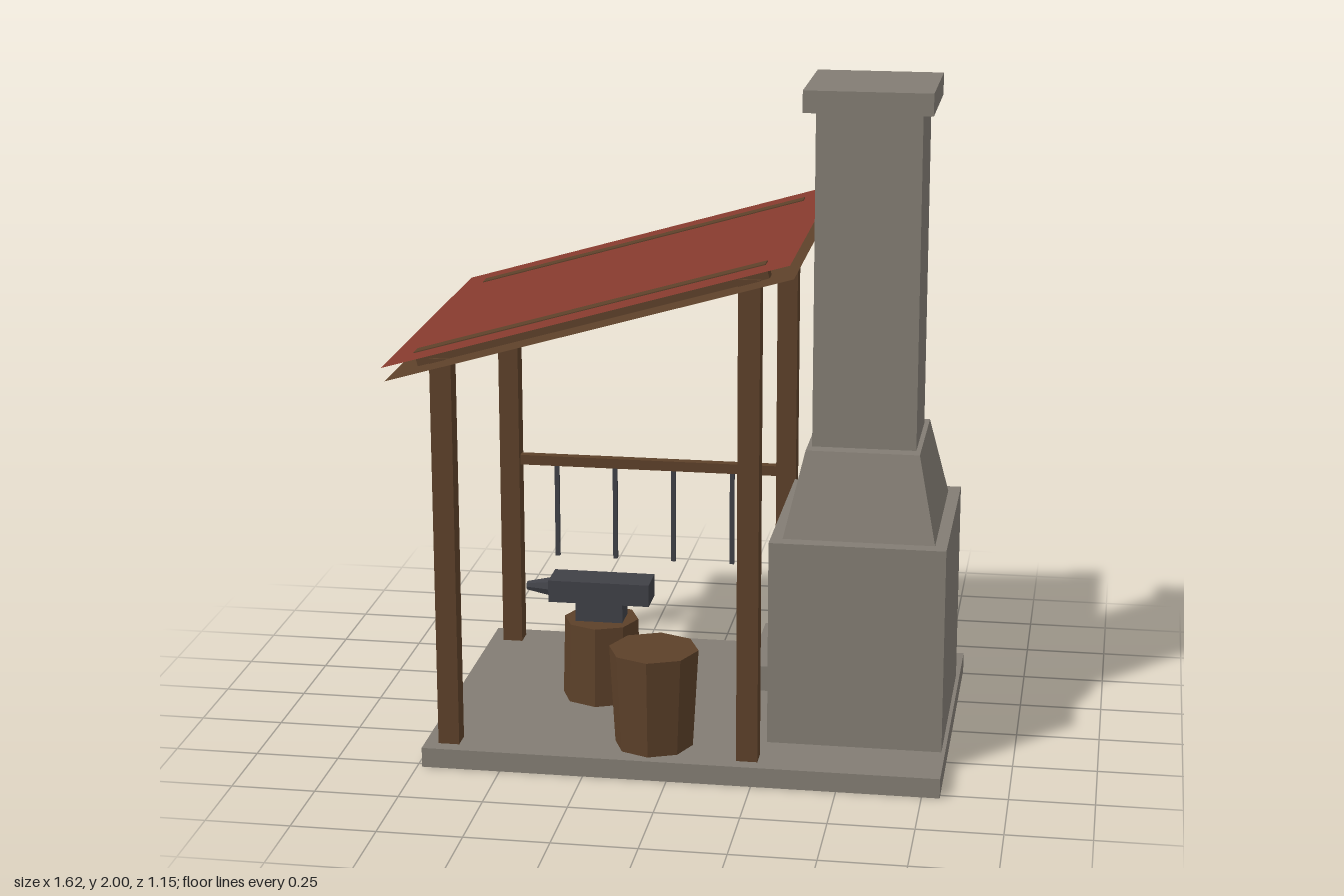
import * as THREE from 'three';

export function createModel() {
  const model = new THREE.Group();
  model.name = 'openSmithy';

  const mat = (name, color, extra = {}) => {
    const m = new THREE.MeshStandardMaterial({ color, flatShading: true, ...extra });
    m.name = name;
    return m;
  };
  const stone = mat('stone', 0x827c73);
  const wood = mat('wood', 0x5c4029, { side: THREE.DoubleSide });
  const roofRed = mat('roofRed', 0x853a2d, { side: THREE.DoubleSide });
  const iron = mat('iron', 0x3f4046);

  const add = (name, geometry, material, x, y, z, parent = model) => {
    const mesh = new THREE.Mesh(geometry, material);
    mesh.name = name;
    mesh.position.set(x, y, z);
    parent.add(mesh);
    return mesh;
  };
  // Box given by its lower and upper limits on each axis
  const box = (name, material, x0, x1, y0, y1, z0, z1, parent = model) =>
    add(name, new THREE.BoxGeometry(x1 - x0, y1 - y0, z1 - z0), material,
      (x0 + x1) / 2, (y0 + y1) / 2, (z0 + z1) / 2, parent);

  // Stone floor
  box('floorSlab', stone, -0.735, 0.803, 0, 0.06, -0.525, 0.523);

  // Forge and chimney
  box('forgeBlock', stone, 0.272, 0.792, 0.06, 0.685, -0.322, 0.32);
  box('forgeLedge', stone, 0.2, 0.272, 0.172, 0.25, -0.19, 0.19);
  const hood = new THREE.BoxGeometry(0.448, 0.25, 0.55);
  const p = hood.attributes.position;
  for (let i = 0; i < p.count; i++) {
    if (p.getY(i) > 0) {
      p.setX(i, p.getX(i) * 0.75);
      p.setZ(i, p.getZ(i) * 0.71);
    }
  }
  hood.computeVertexNormals();
  add('chimneyHood', hood, stone, 0.532, 0.81, 0);
  box('chimneyShaft', stone, 0.378, 0.686, 0.935, 1.935, -0.152, 0.15);
  box('chimneyCap', stone, 0.344, 0.718, 1.935, 2, -0.19, 0.19);

  // Posts: short pair on the right, tall pair beside the forge
  for (const z of [-0.448, 0.448]) {
    box('shortPost', wood, -0.694, -0.631, 0.06, 1.245, z - 0.031, z + 0.031);
    box('tallPost', wood, 0.201, 0.264, 0.06, 1.51, z - 0.031, z + 0.031);
  }

  // Sloping roof: two open sheets with a rafter along each side
  const roof = new THREE.Group();
  roof.name = 'roof';
  roof.position.set(-0.2275, 1.406, -0.002);
  roof.rotation.z = 0.2827;
  model.add(roof);
  const sheet = new THREE.PlaneGeometry(1.22, 1.146).rotateX(-Math.PI / 2);
  add('roofCovering', sheet, roofRed, 0, 0, 0, roof);
  add('roofUnderside', sheet, wood, 0, -0.04, 0, roof);
  for (const z of [-0.449, 0.449]) {
    box('rafter', wood, -0.534, 0.526, -0.0415, 0.003, z - 0.024, z + 0.024, roof);
  }

  // Tool rail at the back with hanging rods
  box('toolRail', wood, -0.631, 0.201, 0.658, 0.69, -0.464, -0.434);
  for (let i = 0; i < 4; i++) {
    const x = -0.514 + i * 0.19;
    box('hangingTool', iron, x - 0.007, x + 0.007, 0.352, 0.66, -0.456, -0.442);
  }

  // Wooden stumps
  add('anvilStump', new THREE.CylinderGeometry(0.115, 0.122, 0.25, 8), wood, -0.287, 0.185, 0);
  add('frontStump', new THREE.CylinderGeometry(0.134, 0.117, 0.3, 8), wood, -0.06, 0.21, 0.376);

  // Anvil
  const anvil = new THREE.Group();
  anvil.name = 'anvil';
  model.add(anvil);
  box('anvilWaist', iron, -0.36, -0.214, 0.31, 0.371, -0.045, 0.045, anvil);
  box('anvilTop', iron, -0.443, -0.13, 0.371, 0.44, -0.055, 0.055, anvil);
  const horn = new THREE.CylinderGeometry(0.014, 0.031, 0.078, 8).rotateZ(Math.PI / 2);
  add('anvilHorn', horn, iron, -0.481, 0.402, 0, anvil);

  return model;
}
